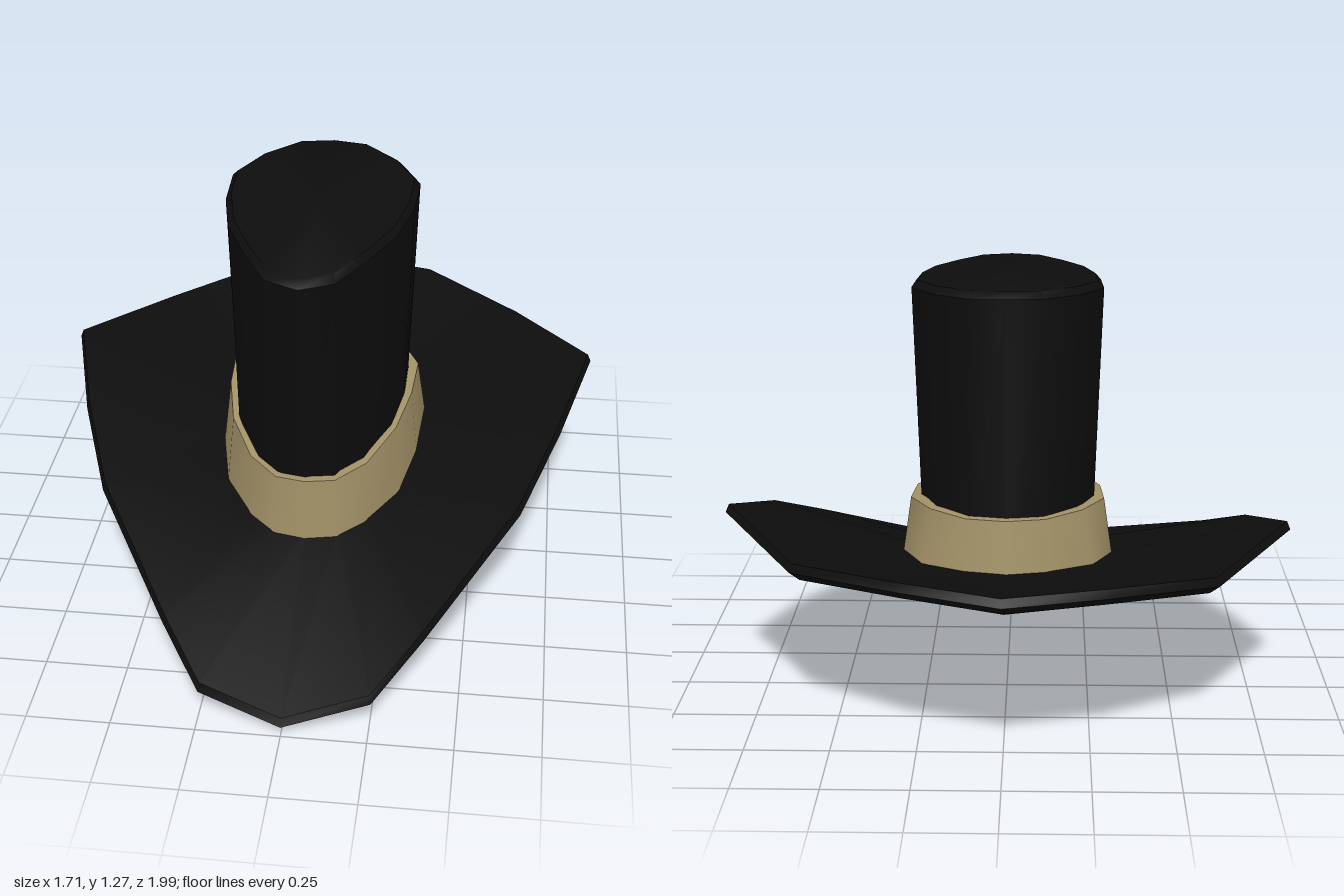
import * as THREE from 'three';
import { toCreasedNormals } from 'three/addons/utils/BufferGeometryUtils.js';

// Mirror a half outline of [x, y, z] (front centre to back centre) into a closed ring
function ring(half) {
  const left = half.slice(1, -1).reverse().map(([x, y, z]) => [-x, y, z]);
  return [...half, ...left].map((p) => new THREE.Vector3(...p));
}

// Copy of a ring, shrunk in plan about z = cz and moved up or down
function shrink(points, s, dy = 0, cz = 0) {
  return points.map((p) => new THREE.Vector3(p.x * s, p.y + dy, cz + (p.z - cz) * s));
}

// All points of a ring gathered in one centre point, to close an end
const centre = (points, y, z) => points.map(() => new THREE.Vector3(0, y, z));

// Skin over a series of rings, faces turned outward
function loft(name, rings, color, crease, side = THREE.FrontSide) {
  const pos = [];
  const tri = (a, b, c) => {
    const area = b.clone().sub(a).cross(c.clone().sub(a)).length();
    if (area > 1e-8) [a, b, c].forEach((p) => pos.push(p.x, p.y, p.z));
  };
  for (let r = 0; r < rings.length - 1; r++) {
    const lo = rings[r], hi = rings[r + 1], n = lo.length;
    for (let i = 0; i < n; i++) {
      const j = (i + 1) % n;
      tri(lo[i], lo[j], hi[j]);
      tri(lo[i], hi[j], hi[i]);
    }
  }
  const geo = new THREE.BufferGeometry();
  geo.setAttribute('position', new THREE.Float32BufferAttribute(pos, 3));
  const mesh = new THREE.Mesh(
    toCreasedNormals(geo, crease),
    new THREE.MeshStandardMaterial({ color, side }),
  );
  mesh.name = name;
  return mesh;
}

export function createModel() {
  const hat = new THREE.Group();
  hat.name = 'hat';
  const black = 0x0d0d0d, tan = 0xa39268;

  // Brim: curled-up sides, low pointed front
  const rim = ring([
    [0, 0.06, 0.985], [0.25, 0.11, 0.915], [0.385, 0.2, 0.725], [0.645, 0.385, 0.32],
    [0.755, 0.5, 0.03], [0.845, 0.585, -0.295], [0.605, 0.53, -0.67], [0.29, 0.565, -0.895],
    [0, 0.56, -0.985],
  ]);
  const brimInner = ring([
    [0, 0.31, 0.42], [0.1, 0.315, 0.4], [0.17, 0.325, 0.335], [0.26, 0.345, 0.19],
    [0.3, 0.38, 0.02], [0.31, 0.42, -0.17], [0.25, 0.435, -0.335], [0.115, 0.44, -0.42],
    [0, 0.44, -0.445],
  ]);
  const under = ring([
    [0, 0.09, 0.6], [0.14, 0.12, 0.57], [0.24, 0.18, 0.46], [0.38, 0.285, 0.22],
    [0.44, 0.355, 0], [0.46, 0.395, -0.2], [0.37, 0.41, -0.46], [0.17, 0.405, -0.62],
    [0, 0.4, -0.68],
  ]);
  const rimEdge = shrink(rim, 1.012, -0.025);
  const rimLow = shrink(rim, 0.97, -0.055);
  // The brim leans a little to one side
  for (const edge of [rim, rimEdge, rimLow]) {
    for (const p of edge) { p.y += 0.02 * p.x; p.z += 0.018 * p.x; }
  }
  hat.add(loft('brim', [
    centre(rim, 0.32, -0.05), under, rimLow, rimEdge, rim,
    brimInner, centre(rim, 0.38, 0),
  ], black, 0.7));

  // Crown: egg-shaped plan, front leaning forward
  const crownBase = ring([
    [0, 0.36, 0.375], [0.085, 0.36, 0.355], [0.165, 0.36, 0.28], [0.235, 0.36, 0.15],
    [0.26, 0.36, 0], [0.26, 0.36, -0.14], [0.21, 0.36, -0.28], [0.11, 0.36, -0.39],
    [0, 0.36, -0.412],
  ]);
  const crownEdge = ring([
    [0, 1.22, 0.55], [0.1, 1.222, 0.505], [0.18, 1.228, 0.36], [0.25, 1.234, 0.2],
    [0.285, 1.24, 0.03], [0.29, 1.245, -0.14], [0.22, 1.25, -0.275], [0.11, 1.255, -0.38],
    [0, 1.257, -0.396],
  ]);
  hat.add(loft('crown', [
    crownBase, crownEdge, shrink(crownEdge, 0.94, 0.02, 0.05), centre(rim, 1.263, 0.03),
  ], black, 0.7));

  // Hat band: flares out toward the brim, with a narrow lip on top
  const bandBase = ring([
    [0, 0.28, 0.437], [0.1, 0.285, 0.42], [0.18, 0.295, 0.35], [0.275, 0.315, 0.2],
    [0.315, 0.35, 0.02], [0.328, 0.39, -0.18], [0.265, 0.4, -0.35], [0.12, 0.41, -0.44],
    [0, 0.41, -0.467],
  ]);
  const bandTop = ring([
    [0, 0.508, 0.43], [0.09, 0.505, 0.408], [0.178, 0.52, 0.325], [0.255, 0.56, 0.175],
    [0.29, 0.585, 0], [0.298, 0.595, -0.17], [0.23, 0.6, -0.31], [0.12, 0.602, -0.415],
    [0, 0.602, -0.44],
  ]);
  hat.add(loft('hatBand', [bandBase, bandTop, shrink(bandTop, 0.88)], tan, 0.7, THREE.DoubleSide));

  return hat;
}
